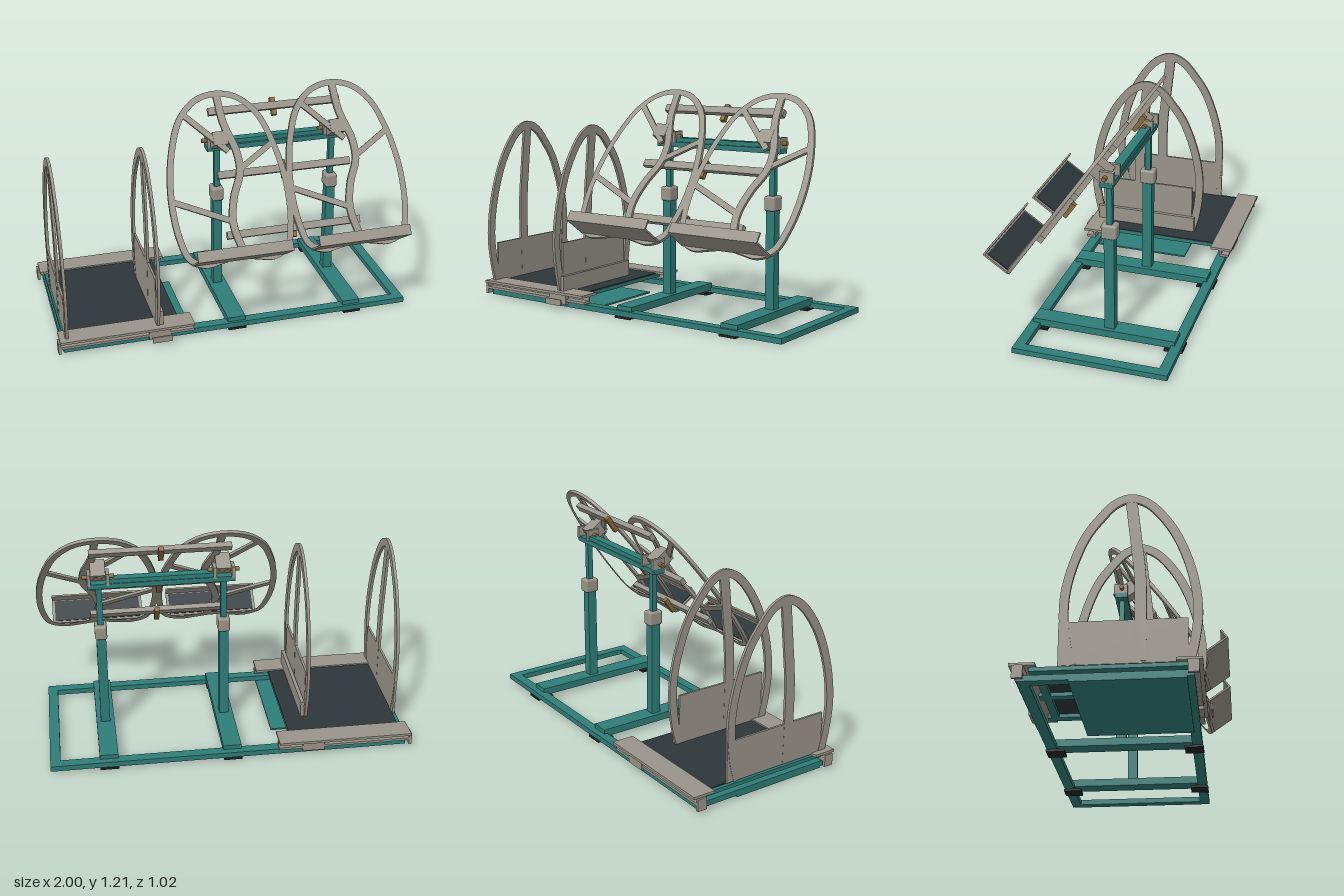
import * as THREE from 'three';
import { toCreasedNormals } from 'three/addons/utils/BufferGeometryUtils.js';
import { RoundedBoxGeometry } from 'three/addons/geometries/RoundedBoxGeometry.js';

const mat = (color) => new THREE.MeshStandardMaterial({ color });
const STEEL = mat(0x99948a), TEAL = mat(0x2f7d78), DARK = mat(0x2d363a), RUBBER = mat(0x222424), BRASS = mat(0x8a6a3a);

function add(parent, name, geometry, material) {
  const mesh = new THREE.Mesh(geometry, material);
  mesh.name = name;
  parent.add(mesh);
  return mesh;
}

// Box given by its limits on each axis
function box(parent, name, material, [x0, x1], [y0, y1], [z0, z1]) {
  const mesh = add(parent, name, new THREE.BoxGeometry(x1 - x0, y1 - y0, z1 - z0), material);
  mesh.position.set((x0 + x1) / 2, (y0 + y1) / 2, (z0 + z1) / 2);
  return mesh;
}

// Flat strip of constant width following a smooth 2D path, centred on z = 0
function ribbon(points, width, depth, closed = false) {
  const curve = new THREE.CatmullRomCurve3(points.map(([x, y]) => new THREE.Vector3(x, y, 0)), closed);
  const n = points.length * 6;
  const sides = [[], []];
  for (let i = 0; i < (closed ? n : n + 1); i++) {
    const p = curve.getPoint(i / n), t = curve.getTangent(i / n);
    [1, -1].forEach((s, k) => sides[k].push(
      new THREE.Vector2(p.x - s * t.y * width / 2, p.y + s * t.x * width / 2)));
  }
  let shape;
  if (closed) {
    const areas = sides.map((s) => Math.abs(THREE.ShapeUtils.area(s)));
    const outer = areas[0] > areas[1] ? 0 : 1;
    shape = new THREE.Shape(sides[outer]);
    shape.holes.push(new THREE.Path(sides[1 - outer]));
  } else {
    shape = new THREE.Shape([...sides[0], ...sides[1].reverse()]);
  }
  const g = new THREE.ExtrudeGeometry(shape, { depth, bevelEnabled: false });
  return toCreasedNormals(g.translate(0, 0, -depth / 2), 0.6);
}

const POSTS = [-0.01, 0.66];

function baseFrame() {
  const g = new THREE.Group();
  g.name = 'baseFrame';
  const y = [0.012, 0.042];
  box(g, 'rearBeam', TEAL, [-0.97, 0.975], y, [-0.475, -0.42]);
  box(g, 'frontBeam', TEAL, [-0.97, 0.975], y, [0.3, 0.355]);
  for (const x of [-0.97, 0.92]) box(g, 'endBeam', TEAL, [x, x + 0.055], y, [-0.42, 0.3]);
  for (const x of POSTS) {
    box(g, 'crossBeam', TEAL, [x - 0.05, x + 0.05], [0.025, 0.066], [-0.44, 0.34]);
    for (const z of [-0.48, 0.26]) box(g, 'footPad', RUBBER, [x - 0.05, x + 0.05], [0, 0.012], [z, z + 0.1]);
  }
  box(g, 'bottomPlate', TEAL, [-0.97, -0.26], [0.003, 0.012], [-0.23, 0.32]);
  return g;
}

function platform() {
  const g = new THREE.Group();
  g.name = 'slidingPlatform';
  // Deck frame and floor
  for (const x of [-0.965, -0.66, -0.38]) box(g, 'deckJoist', TEAL, [x, x + 0.05], [0.063, 0.084], [-0.42, 0.33]);
  for (const z of [-0.4, -0.24, 0.24]) box(g, 'deckBearer', TEAL, [-0.965, -0.33], [0.063, 0.084], [z, z + 0.04]);
  box(g, 'floor', DARK, [-0.945, -0.33], [0.082, 0.09], [-0.39, 0.28]);
  // Slide rails along both long edges
  for (const s of [1, -1]) {
    const span = (a, b) => (s > 0 ? [a, b] : [-b - 0.115, -a - 0.115]);
    box(g, 'railTop', STEEL, [-0.99, -0.26], [0.084, 0.098], span(0.27, 0.395));
    box(g, 'railLower', STEEL, [-0.99, -0.26], [0.046, 0.06], span(0.325, 0.378));
    box(g, 'railWeb', STEEL, [-0.99, -0.26], [0.046, 0.084], span(0.325, 0.335));
    box(g, 'railBlock', STEEL, [-0.51, -0.39], [0.03, 0.084], span(0.355, 0.38));
    box(g, 'railEnd', STEEL, [-1, -0.985], [0.018, 0.084], span(0.325, 0.378));
  }
  box(g, 'latchPlate', STEEL, [-0.5, -0.39], [0.03, 0.064], [0.415, 0.423]);

  // Tall side hoops with curved centre bar
  const hoop = ribbon([[0.335, 0.09], [0.36, 0.2], [0.378, 0.35], [0.365, 0.5], [0.325, 0.66], [0.265, 0.8],
    [0.18, 0.92], [0.12, 0.967], [0.055, 0.985], [-0.02, 0.955], [-0.09, 0.88], [-0.16, 0.78],
    [-0.22, 0.63], [-0.255, 0.48], [-0.262, 0.35], [-0.247, 0.2], [-0.22, 0.09]], 0.045, 0.016).rotateY(-Math.PI / 2);
  const bar = ribbon([[0.06, 0.98], [0.083, 0.76], [0.103, 0.55], [0.105, 0.34], [0.1, 0.1]], 0.058, 0.014).rotateY(-Math.PI / 2);
  for (const [x, top, back] of [[-0.95, 0.315, -0.285], [-0.455, 0.365, -0.22]]) {
    add(g, 'sideHoop', hoop, STEEL).position.x = x;
    add(g, 'hoopBar', bar, STEEL).position.x = x;
    box(g, 'sidePanel', STEEL, [x - 0.006, x + 0.006], [0.09, top], [back, 0.33]);
  }
  box(g, 'kickPlate', STEEL, [-0.445, -0.425], [0.09, 0.18], [-0.24, 0.355]);
  return g;
}

function stand() {
  const g = new THREE.Group();
  g.name = 'liftingStand';
  const z = -0.08;
  for (const x of POSTS) {
    box(g, 'lowerPost', TEAL, [x - 0.026, x + 0.026], [0.06, 0.61], [z - 0.027, z + 0.027]);
    box(g, 'upperPost', TEAL, [x - 0.016, x + 0.016], [0.6, 0.91], [z - 0.015, z + 0.015]);
    add(g, 'postClamp', new RoundedBoxGeometry(0.066, 0.08, 0.085, 3, 0.012), STEEL).position.set(x, 0.635, z);
    // Tilting hinge on top of the post
    for (const s of [-1, 1]) box(g, 'hingeCheek', STEEL, [x + s * 0.05 - 0.009, x + s * 0.05 + 0.009], [0.92, 0.985], [-0.12, -0.045]);
    const block = add(g, 'hingeBlock', new THREE.BoxGeometry(0.08, 0.1, 0.075), STEEL);
    block.position.set(x, 0.968, -0.035);
    block.rotation.x = -35 * Math.PI / 180 + Math.PI / 2;
    const pin = add(g, 'hingePin', new THREE.CylinderGeometry(0.012, 0.012, 0.17, 16), BRASS);
    pin.rotation.z = Math.PI / 2;
    pin.position.set(x, 0.955, -0.076);
  }
  box(g, 'topBeam', TEAL, [-0.07, 0.72], [0.9, 0.928], [-0.115, -0.045]);
  box(g, 'topBeamRib', TEAL, [0.04, 0.61], [0.925, 0.952], [-0.11, -0.06]);
  return g;
}

function tiltingRack() {
  const g = new THREE.Group();
  g.name = 'tiltingRack';
  g.position.set(0, 0.8175, 0.12);
  g.rotation.x = -35 * Math.PI / 180;
  // Upright heights converted to distances within the tilted plane
  const plane = (pts) => pts.map(([x, y]) => [x, (y - 0.8175) / 0.819]);
  const half = [[0.12, 1.168], [0.215, 1.09], [0.275, 0.97], [0.312, 0.83], [0.322, 0.7],
    [0.308, 0.57], [0.27, 0.475], [0.19, 0.442], [0.1, 0.452]];
  const outline = [[0, 1.193], ...half, [0, 0.466], ...half.map(([x, y]) => [-x, y]).reverse()];
  const ring = ribbon(plane(outline), 0.034, 0.018, true);
  const spine = ribbon(plane([[0.01, 1.19], [0.025, 1.06], [0.075, 0.92], [0.075, 0.83], [0.02, 0.72], [-0.005, 0.61], [0.03, 0.466]]), 0.04, 0.016);
  const spokes = [
    [[-0.185, 1.11], [0.03, 0.93]],
    [[0.07, 0.84], [0.285, 0.95]],
    [[-0.322, 0.735], [0, 0.615]],
  ].map((p) => ribbon(plane(p), 0.032, 0.015));

  for (const x of [-0.006, 0.66]) {
    const unit = new THREE.Group();
    unit.name = 'loopFrame';
    unit.position.x = x;
    add(unit, 'outerLoop', ring, STEEL);
    add(unit, 'curvedSpine', spine, STEEL);
    for (const s of spokes) add(unit, 'spoke', s, STEEL);
    // Bottom shelf with raised lip
    box(unit, 'shelf', STEEL, [-0.26, 0.26], [-0.456, -0.446], [0, 0.155]);
    box(unit, 'shelfMat', DARK, [-0.245, 0.245], [-0.447, -0.442], [0.012, 0.14]);
    box(unit, 'shelfLip', STEEL, [-0.26, 0.26], [-0.456, -0.398], [0.147, 0.157]);
    g.add(unit);
  }
  // Rear bars tying both loops together, each with a centre handle
  for (const v of [0.368, 0.015, -0.315]) {
    box(g, 'tieBar', STEEL, [-0.05, 0.705], [v - 0.02, v + 0.02], [-0.038, -0.009]);
    box(g, 'centreHandle', BRASS, [0.313, 0.341], [v - 0.05, v + 0.05], [-0.06, -0.033]);
  }
  return g;
}

export function createModel() {
  const model = new THREE.Group();
  model.name = 'liftingRig';
  model.add(baseFrame(), platform(), stand(), tiltingRack());
  return model;
}
